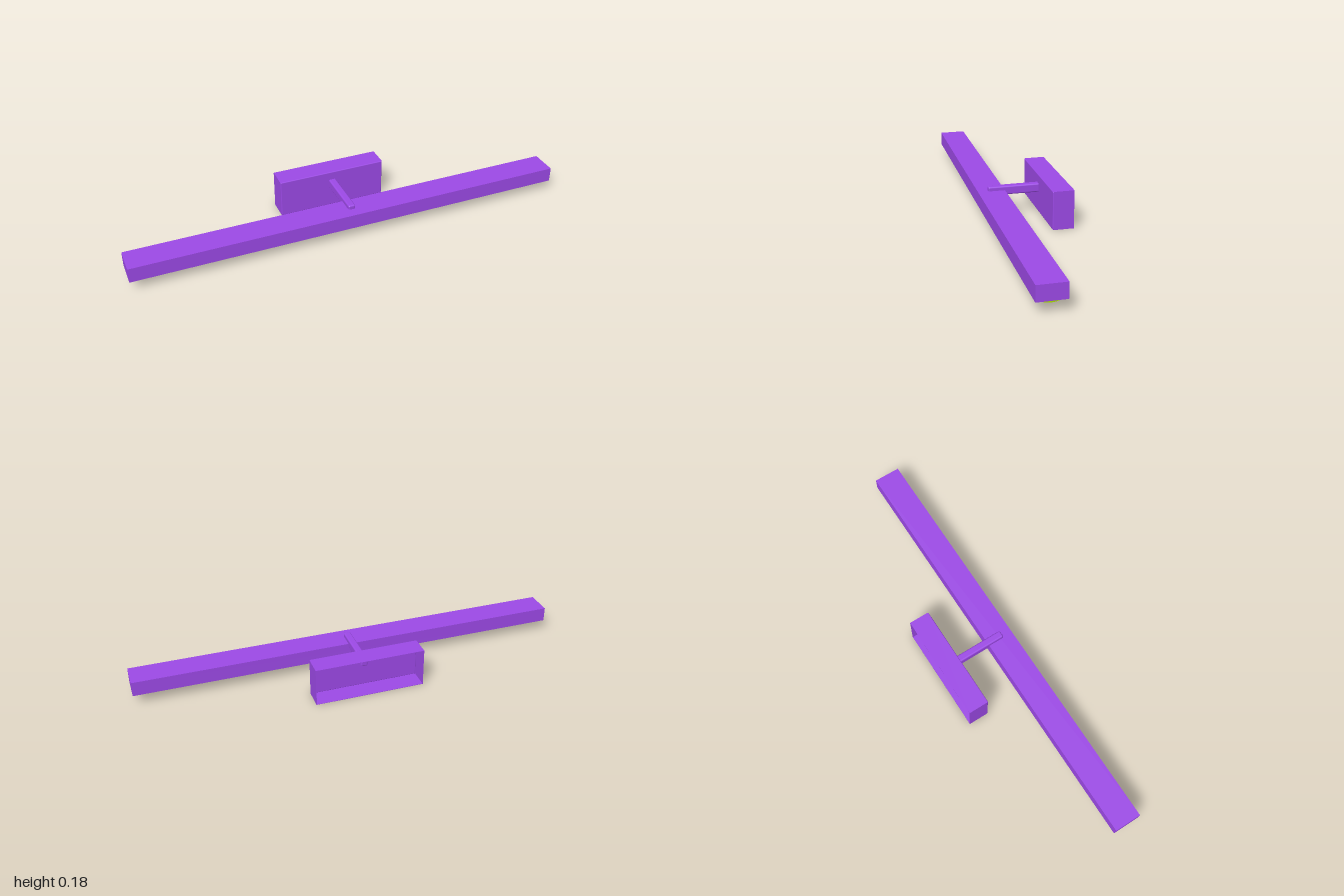
import * as THREE from 'three';
import { RoundedBoxGeometry } from 'three/addons/geometries/RoundedBoxGeometry.js';

const material = (name, color) => Object.assign(new THREE.MeshStandardMaterial({ color }), { name });

export function createModel() {
  const purple = material('purple metal', 0x9c49e6);
  const lime = material('lime end cap', 0xa8de04);
  const blue = material('blue diffuser', 0x1e4cdc);
  const grey = material('pale blue diffuser', 0x78aad6);
  const model = new THREE.Group();
  model.name = 'wallLamp';

  const add = (parent, name, geometry, mat, x, y, z) => {
    const mesh = new THREE.Mesh(geometry, mat);
    mesh.name = name;
    mesh.position.set(x, y, z);
    parent.add(mesh);
  };
  const rectangle = (Type, w, h) => new Type([
    [-w, -h], [w, -h], [w, h], [-w, h],
  ].map(([x, y]) => new THREE.Vector2(x / 2, y / 2)));
  // Four thin walls around an open middle, extruded along z
  const frame = (w, h, depth, wall) => {
    const shape = rectangle(THREE.Shape, w, h);
    shape.holes.push(rectangle(THREE.Path, w - 2 * wall, h - 2 * wall));
    return new THREE.ExtrudeGeometry(shape, { depth, bevelEnabled: false });
  };

  // Wall box: softened front plate and thin walls, open at the back
  const wallBox = new THREE.Group();
  wallBox.name = 'wallBox';
  model.add(wallBox);
  add(wallBox, 'wallBoxFront', new RoundedBoxGeometry(0.5, 0.176, 0.008, 2, 0.004), purple, 0, 0.088, -0.096);
  add(wallBox, 'wallBoxSides', frame(0.5, 0.176, 0.092, 0.0015), purple, 0, 0.088, -0.188);

  // Arm from inside the wall box to the lamp bar
  add(model, 'arm', new RoundedBoxGeometry(0.033, 0.041, 0.246, 3, 0.007), purple, 0, 0.1165, 0.018);

  // Lamp bar: a tray open downward
  const bar = new THREE.Group();
  bar.name = 'lampBar';
  model.add(bar);
  add(bar, 'barTop', new THREE.BoxGeometry(2, 0.006, 0.123), purple, 0, 0.115, 0.127);
  add(bar, 'barSides', frame(2, 0.123, 0.061, 0.003).rotateX(-Math.PI / 2), purple, 0, 0.051, 0.127);

  // Lens section: flat on top, shallow curve below
  const lens = new THREE.Shape();
  for (let i = 0; i <= 10; i++) {
    const a = Math.PI * (1 + i / 10);
    const x = 0.055 * Math.cos(a), y = 0.03 * Math.sin(a);
    if (i === 0) lens.moveTo(x, y);
    else lens.lineTo(x, y);
  }
  lens.closePath();
  const lensPiece = (name, x0, x1, mat) => {
    const geometry = new THREE.ExtrudeGeometry(lens, { depth: x1 - x0, bevelEnabled: false });
    add(bar, name, geometry.rotateY(Math.PI / 2), mat, x0, 0.067, 0.127);
  };

  // Eight alternating diffuser sections between two end caps
  const step = 0.2425, inner = 0.95, outer = 0.985;
  for (let i = 0; i < 8; i++) {
    const x0 = Math.max(-inner, (i - 4) * step);
    const x1 = Math.min(inner, (i - 3) * step);
    lensPiece('diffuserSection', x0, x1, i % 2 ? grey : blue);
  }
  lensPiece('rightEndCap', -outer, -inner, lime);
  lensPiece('leftEndCap', inner, outer, lime);
  return model;
}
